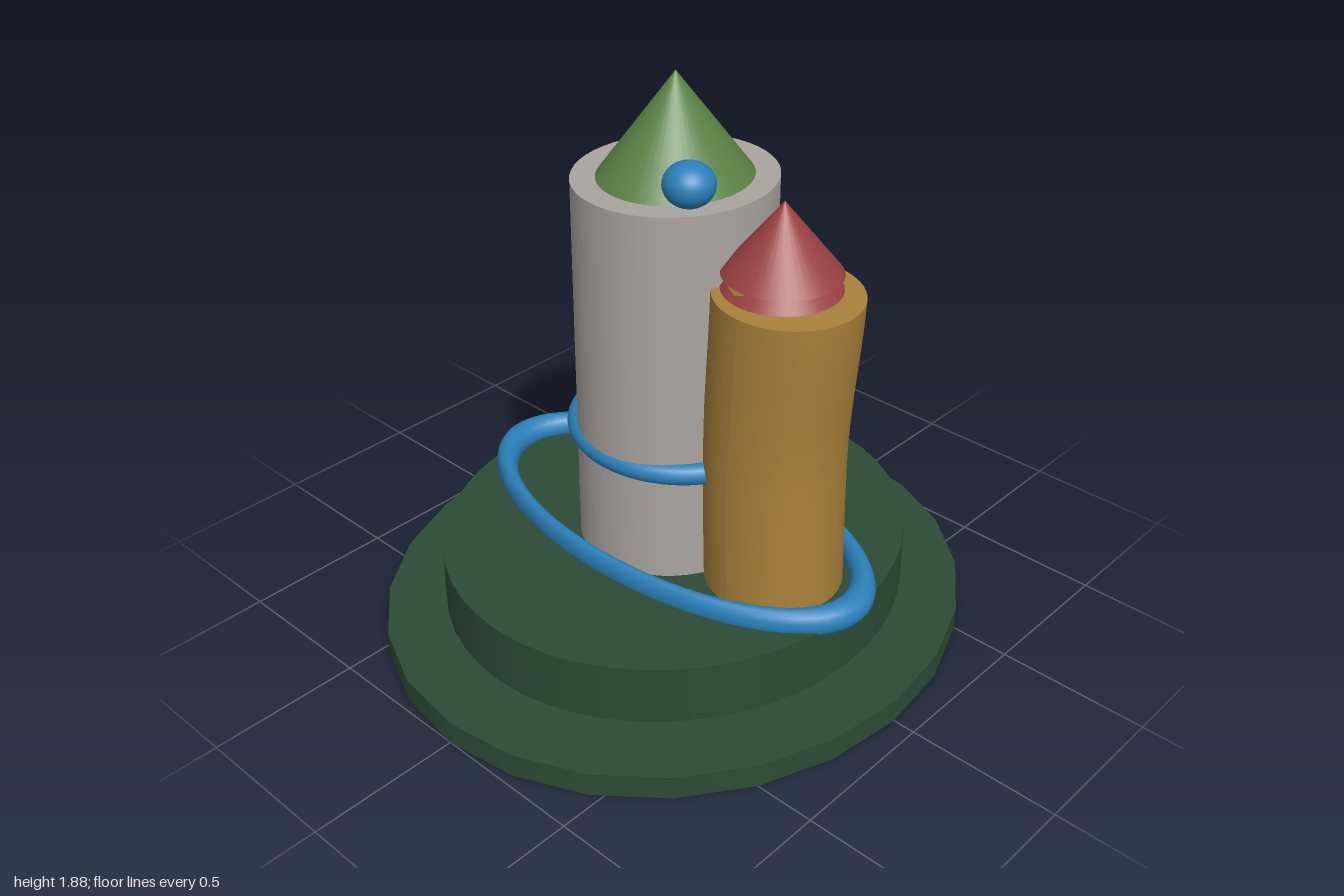
import * as THREE from 'three';

const mat = (name, color) => {
  const m = new THREE.MeshStandardMaterial({ color });
  m.name = name;
  return m;
};

export function createModel() {
  const group = new THREE.Group();
  const darkGreen = mat('dark green', 0x2d4b35);
  const leafGreen = mat('leaf green', 0x5b8246);
  const stone = mat('stone grey', 0xaaa49f);
  const gold = mat('gold', 0xa8803a);
  const red = mat('brick red', 0x9b4041);
  const blue = mat('blue', 0x2b80ba);

  const add = (name, geometry, material, x, y, z) => {
    const mesh = new THREE.Mesh(geometry, material);
    mesh.name = name;
    mesh.position.set(x, y, z);
    group.add(mesh);
    return mesh;
  };
  // Upright elliptical drum or cone from y0 to y1
  const drum = (name, material, x, rx, rz, y0, y1, sides, top = 1) => {
    const g = new THREE.CylinderGeometry(top, 1, y1 - y0, sides);
    g.scale(rx, 1, rz);
    return add(name, g, material, x, (y0 + y1) / 2, 0);
  };
  // Flat-lying elliptical ring, its tube stretched with the ellipse
  const ring = (name, radius, tube, zScale, y) => {
    const g = new THREE.TorusGeometry(radius, tube, 16, 64);
    g.rotateX(Math.PI / 2);
    g.scale(1, 1, zScale);
    return add(name, g, blue, 0, y, 0);
  };

  // Two-tier base with a small gap between the tiers
  drum('baseDisc', darkGreen, 0, 0.925, 1, 0, 0.08, 24);
  drum('upperDisc', darkGreen, 0, 0.733, 0.795, 0.115, 0.315, 48);

  // Main tower and its roof
  drum('mainTower', stone, 0, 0.303, 0.325, 0.3, 1.56, 48);
  drum('mainRoof', leafGreen, 0, 0.23, 0.247, 1.56, 1.88, 48, 0);

  // Rings around the base and the tower
  ring('groundRing', 0.732, 0.048, 0.49, 0.33);
  ring('towerRing', 0.325, 0.035, 0.93, 0.7);

  // Side tower: leans outward and flares slightly near the top
  const side = new THREE.CylinderGeometry(0.22, 0.22, 1.02, 40, 16);
  const p = side.attributes.position;
  for (let i = 0; i < p.count; i++) {
    const t = p.getY(i) / 1.02 + 0.5;
    const flare = THREE.MathUtils.smoothstep(t, 0.45, 1);
    const x = p.getX(i);
    p.setX(i, x * (1 + 0.03 * flare) - 0.01 * Math.sin(Math.PI * t) + 0.02 * flare);
    p.setZ(i, p.getZ(i) * (1 + 0.02 * flare));
    if (t > 0.99) p.setY(i, p.getY(i) - x * 0.03);
  }
  side.computeVertexNormals();
  add('sideTower', side, gold, 0.425, 0.81, 0);

  // Tilted gold collars under the side roof
  for (const [x, y, r] of [[0.42, 1.345, 0.165], [0.41, 1.37, 0.14]]) {
    const collar = add('roofCollar', new THREE.CylinderGeometry(r * 0.95, r, 0.018, 40), gold, x, y, 0);
    collar.rotation.z = -0.24;
  }

  // Stepped red roof
  const tier = (name, r0, r1, y0, y1) => {
    const g = new THREE.CylinderGeometry(r1, r0, y1 - y0, 40);
    add(name, g, red, 0.42, (y0 + y1) / 2, 0);
  };
  tier('sideRoofLower', 0.18, 0.14, 1.328, 1.376);
  tier('sideRoof', 0.18, 0, 1.376, 1.6);

  // Floating ball
  const ball = add('floatingBall', new THREE.SphereGeometry(1, 32, 20), blue, 0.325, 1.715, 0.293);
  ball.scale.set(0.075, 0.065, 0.075);

  return group;
}
